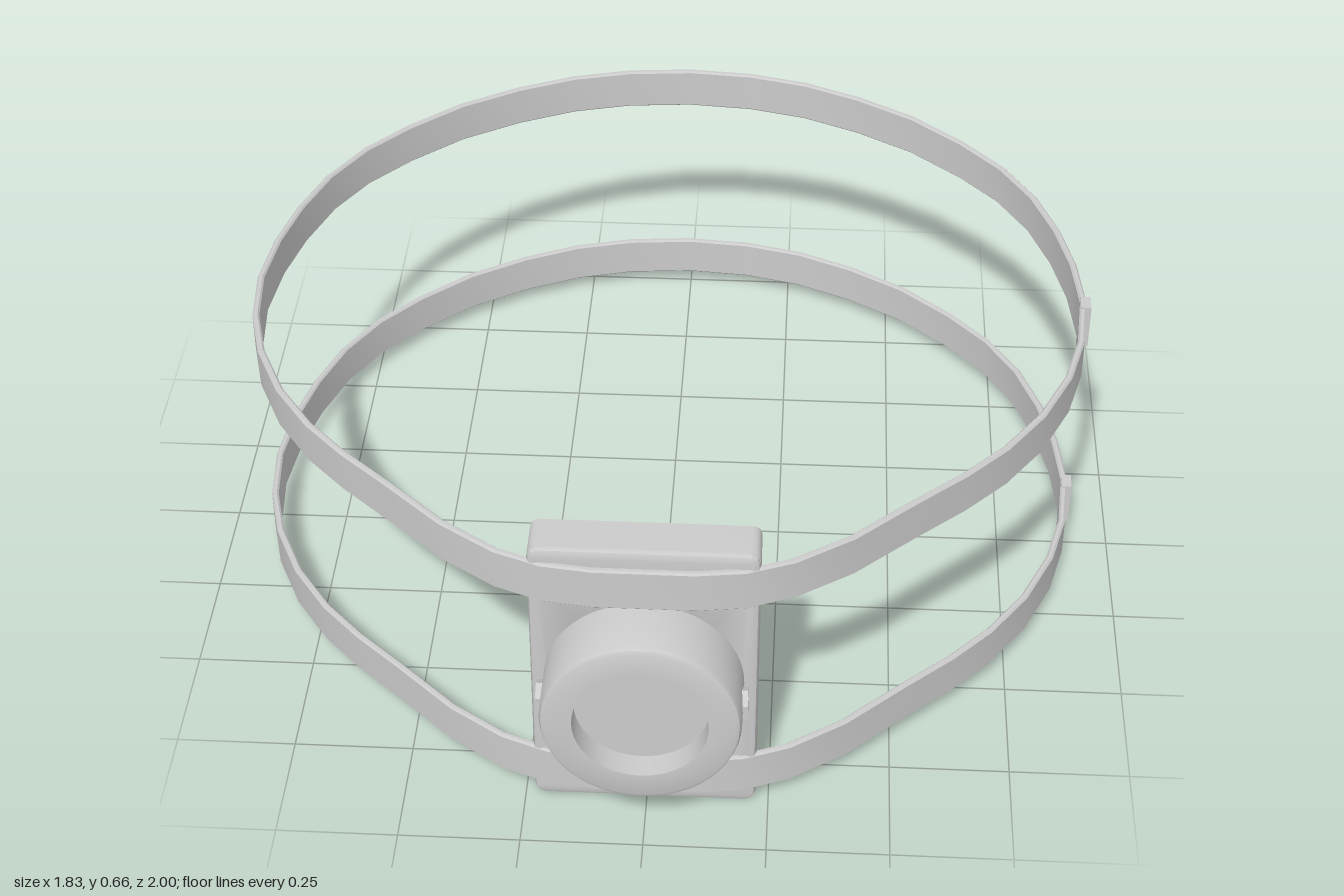
import * as THREE from 'three';
import { toCreasedNormals } from 'three/addons/utils/BufferGeometryUtils.js';

const material = new THREE.MeshStandardMaterial({ color: 0xcccccc });

function part(name, geometry, crease = 0.5) {
  const mesh = new THREE.Mesh(toCreasedNormals(geometry, crease), material);
  mesh.name = name;
  return mesh;
}

// Half outline of a strap seen from above (x, z), back to front
const HALF = [
  [0, -1], [0.15, -0.987], [0.285, -0.952], [0.415, -0.892], [0.545, -0.81],
  [0.66, -0.705], [0.75, -0.6], [0.818, -0.48], [0.865, -0.345], [0.895, -0.21],
  [0.909, -0.065], [0.896, 0.08], [0.862, 0.21], [0.8, 0.345], [0.72, 0.46],
  [0.635, 0.55], [0.535, 0.64], [0.41, 0.757], [0.295, 0.835], [0.2, 0.872], [0.1, 0.885],
];

function outline(inset) {
  const mirrored = HALF.slice(1).reverse().map(([x, z]) => [-x, z]);
  const pts = [...HALF, ...mirrored].map(([x, z]) => new THREE.Vector2(x, z));
  // Move each point inwards along its local normal
  return pts.map((p, i) => {
    const a = pts[(i + pts.length - 1) % pts.length];
    const b = pts[(i + 1) % pts.length];
    const t = b.clone().sub(a).normalize();
    return new THREE.Vector2(p.x - t.y * inset, p.y + t.x * inset);
  });
}

function strap() {
  const bevel = 0.004;
  const shape = new THREE.Shape(outline(bevel));
  shape.holes.push(new THREE.Path(outline(0.015 - bevel)));
  const geometry = new THREE.ExtrudeGeometry(shape, {
    depth: 0.096 - 2 * bevel, bevelEnabled: true,
    bevelThickness: bevel, bevelSize: bevel, bevelSegments: 1,
  });
  geometry.rotateX(Math.PI / 2).translate(0, 0.048 - bevel, 0);
  return part('strap', geometry);
}

function roundedRect(w, h, r, PathType) {
  const x = w / 2, y = h / 2;
  const s = new PathType();
  s.moveTo(-x + r, -y);
  s.lineTo(x - r, -y); s.quadraticCurveTo(x, -y, x, -y + r);
  s.lineTo(x, y - r); s.quadraticCurveTo(x, y, x - r, y);
  s.lineTo(-x + r, y); s.quadraticCurveTo(-x, y, -x, y - r);
  s.lineTo(-x, -y + r); s.quadraticCurveTo(-x, -y, -x + r, -y);
  return s;
}

// Open-backed housing: side walls and a front plate with a round opening
function housing() {
  const group = new THREE.Group();
  group.name = 'housing';
  const W = 0.455, H = 0.66, bevel = 0.012;

  const wall = roundedRect(W, H, 0.022, THREE.Shape);
  wall.holes.push(roundedRect(W - 0.026, H - 0.026, 0.01, THREE.Path));
  const walls = part('housingWalls', new THREE.ExtrudeGeometry(wall, {
    depth: 0.083, bevelEnabled: false, curveSegments: 4,
  }));
  walls.position.z = 0.77;

  const plate = roundedRect(W - 2 * bevel, H - 2 * bevel, 0.014, THREE.Shape);
  const opening = new THREE.Path();
  opening.absarc(0, 0, 0.19 + bevel * 0.4, 0, Math.PI * 2, true);
  plate.holes.push(opening);
  const front = part('housingFront', new THREE.ExtrudeGeometry(plate, {
    depth: 0.006, bevelEnabled: true, bevelThickness: bevel, bevelSize: bevel,
    bevelSegments: 2, curveSegments: 20,
  }));
  front.position.z = 0.847;
  group.add(walls, front);
  return group;
}

// Hollow drum with a recessed round face
function drum() {
  const profile = [
    [0, 0.93], [0.182, 0.93], [0.182, 0.84], [0.2, 0.84], [0.2, 0.985], [0.196, 0.996],
    [0.188, 1], [0.135, 1], [0.135, 0.945], [0, 0.945],
  ].map(([r, z]) => new THREE.Vector2(r, z));
  return part('drum', new THREE.LatheGeometry(profile, 48).rotateX(Math.PI / 2));
}

export function createModel() {
  const model = new THREE.Group();
  model.name = 'strappedHousing';
  const body = new THREE.Group();
  body.name = 'body';
  body.position.x = -0.004;
  model.add(body);

  // Two straps, each with a small clasp on the left side
  for (const y of [0.083, 0.581]) {
    const band = strap();
    band.position.y = y;
    const clasp = part('clasp', new THREE.BoxGeometry(0.022, 0.102, 0.042));
    clasp.position.set(0.906, y, -0.058);
    body.add(band, clasp);
  }

  const box = housing();
  box.position.y = 0.33;
  const ring = drum();
  ring.position.y = 0.332;
  body.add(box, ring);

  // Hexagonal bolts on both sides of the drum
  for (const side of [-1, 1]) {
    const bolt = part('sideBolt', new THREE.CylinderGeometry(0.033, 0.033, 0.03, 6).rotateZ(Math.PI / 2).rotateX(Math.PI / 2));
    bolt.position.set(side * 0.195, 0.332, 0.922);
    body.add(bolt);
  }
  return model;
}
